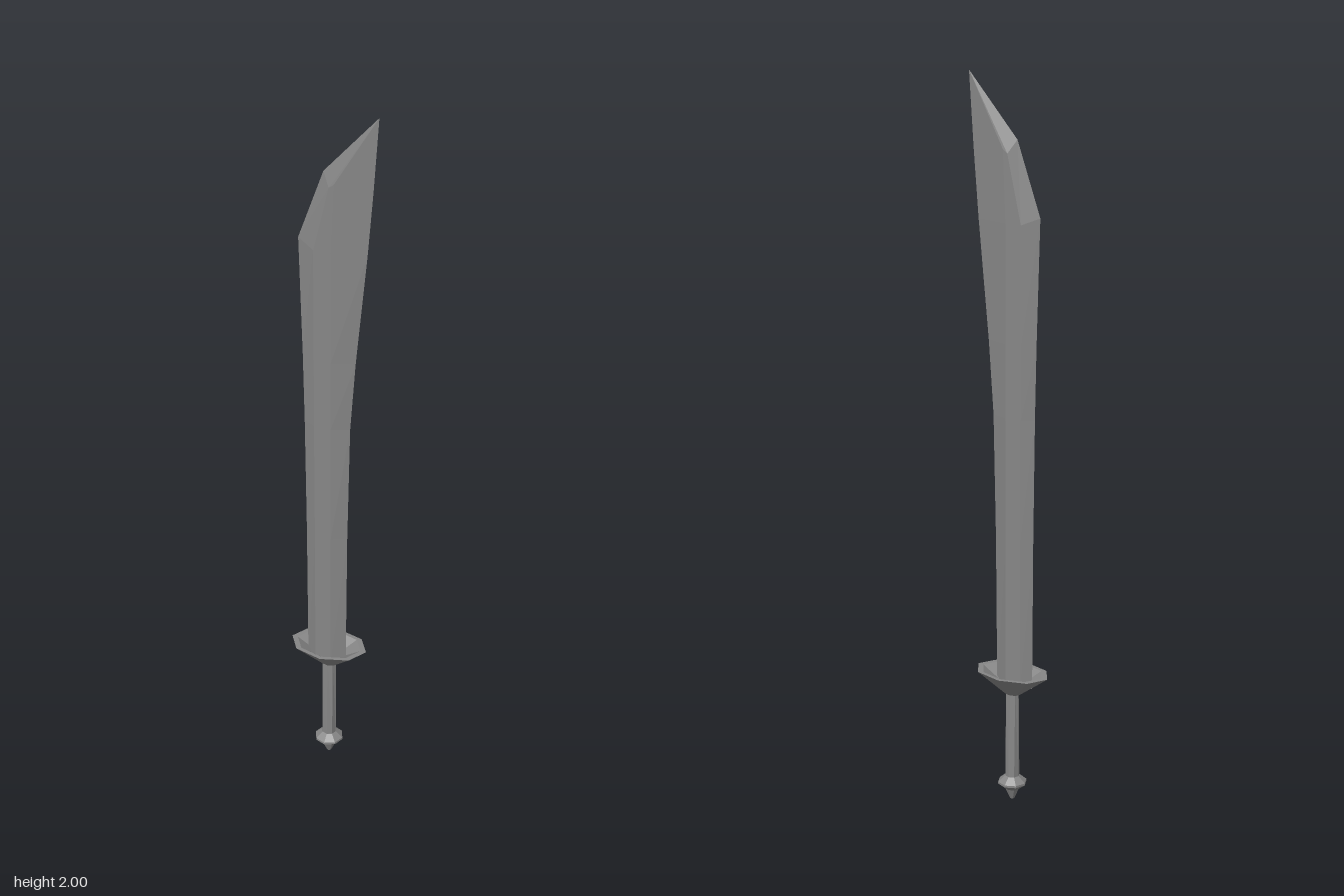
import * as THREE from 'three';

const steel = new THREE.MeshStandardMaterial({ color: 0x868686, flatShading: true });
const AXIS_X = -0.013;

// Eight-sided turned part; radii are multiplied by sx and sz
function turned(name, profile, sx = 1, sz = 1) {
  const points = profile.map(([r, y]) => new THREE.Vector2(r, y));
  const mesh = new THREE.Mesh(new THREE.LatheGeometry(points, 8), steel);
  mesh.name = name;
  mesh.scale.set(sx, 1, sz);
  mesh.position.x = AXIS_X;
  return mesh;
}

// Six-sided blade: back edge, two ridges on each face, cutting edge
function blade() {
  const midZ = 0.004;
  // [back x, y, ridge A x, y, ridge B x, y, cutting edge x, y, half thickness]
  const stations = [
    [-0.073, 0.34, -0.045, 0.34, 0.0, 0.34, 0.038, 0.34, 0.018],
    [-0.075, 0.75, -0.045, 0.75, 0.0, 0.75, 0.041, 0.75, 0.018],
    [-0.079, 1.1, -0.046, 1.1, 0.0, 1.1, 0.048, 1.1, 0.018],
    [-0.083, 1.3, -0.046, 1.3, 0.0, 1.3, 0.062, 1.3, 0.018],
    [-0.093, 1.64, -0.046, 1.62, 0.0, 1.62, 0.092, 1.62, 0.018],
    [-0.025, 1.835, -0.005, 1.8, 0.008, 1.81, 0.106, 1.8, 0.017],
    [0.119, 2, 0.119, 2, 0.119, 2, 0.119, 2, 0],
  ];
  const rings = stations.map(([lx, ly, ax, ay, bx, by, rx, ry, t]) => [
    [lx, ly, midZ], [ax, ay, midZ + t], [bx, by, midZ + t],
    [rx, ry, midZ], [bx, by, midZ - t], [ax, ay, midZ - t],
  ]);
  const verts = [];
  const tri = (...corners) => corners.forEach((c) => verts.push(...c));
  for (let i = 0; i < rings.length - 1; i++) {
    for (let j = 0; j < 6; j++) {
      const k = (j + 1) % 6;
      const a = rings[i][j], b = rings[i][k], c = rings[i + 1][k], d = rings[i + 1][j];
      tri(a, b, c);
      if (i < rings.length - 2) tri(a, c, d);
    }
  }
  // Closed bottom end
  for (let j = 1; j < 5; j++) tri(rings[0][0], rings[0][j + 1], rings[0][j]);

  const geometry = new THREE.BufferGeometry();
  geometry.setAttribute('position', new THREE.Float32BufferAttribute(verts, 3));
  geometry.computeVertexNormals();
  const mesh = new THREE.Mesh(geometry, steel);
  mesh.name = 'blade';
  return mesh;
}

export function createModel() {
  const group = new THREE.Group();
  group.name = 'sword';

  group.add(blade());

  // Dished oval guard
  group.add(turned('guard', [
    [0, 0.315], [0.2, 0.315], [1, 0.38], [0.85, 0.38], [0.33, 0.345], [0, 0.345],
  ], 0.109, 0.073));

  // Grip, thinner front to back towards the guard
  const grip = turned('grip', [[0.02, 0.06], [0.02, 0.33]]);
  const pos = grip.geometry.attributes.position;
  for (let i = 0; i < pos.count; i++) {
    if (pos.getY(i) > 0.2) pos.setZ(i, pos.getZ(i) * 0.6);
  }
  grip.geometry.computeVertexNormals();
  group.add(grip);

  // Pointed pommel
  group.add(turned('pommel', [
    [0, 0], [0.006, 0.003], [0.02, 0.034], [0.04, 0.05], [0.04, 0.056], [0.02, 0.073], [0, 0.073],
  ]));

  return group;
}
